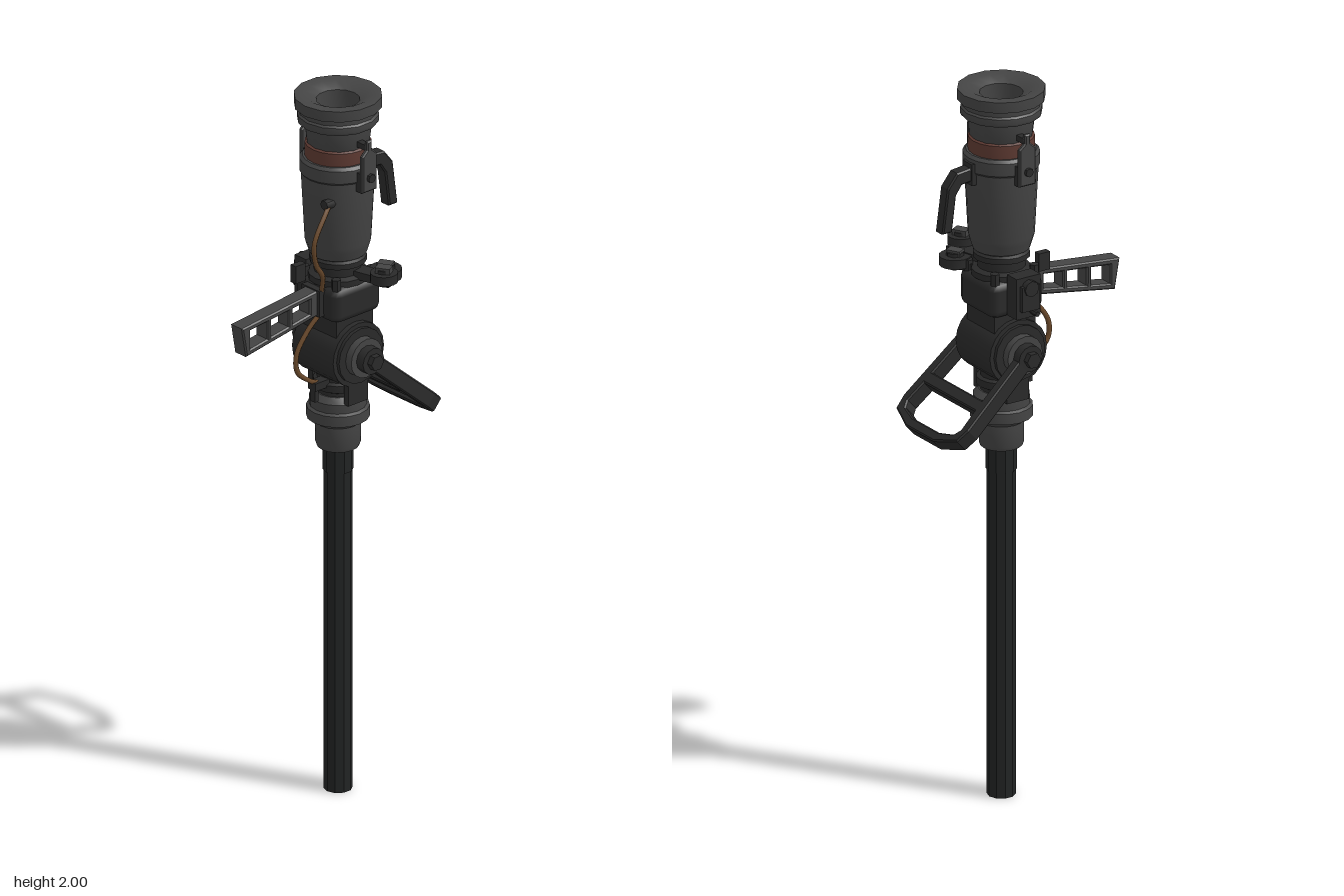
import * as THREE from 'three';
import { toCreasedNormals } from 'three/addons/utils/BufferGeometryUtils.js';
import { RoundedBoxGeometry } from 'three/addons/geometries/RoundedBoxGeometry.js';

const mat = (name, color) => Object.assign(new THREE.MeshStandardMaterial({ color }), { name });

export function createModel() {
  const steel = mat('grey steel', 0x444444);
  const dark = mat('dark iron', 0x2a2a2a);
  const black = mat('blackened pole', 0x222424);
  const copper = mat('reddish band', 0x5e3a32);
  const wire = mat('brown cable', 0x6b4a2c);

  const model = new THREE.Group();
  model.name = 'pistonTool';
  // The main axis sits slightly off the centre of the bounds
  const body = new THREE.Group();
  body.name = 'assembly';
  body.position.set(-0.02, 0, -0.055);
  model.add(body);

  const add = (name, geo, material, x = 0, y = 0, z = 0) => {
    const m = new THREE.Mesh(geo, material);
    m.name = name;
    m.position.set(x, y, z);
    body.add(m);
    return m;
  };
  const lathe = (name, pts, material, sides = 16) => add(name,
    toCreasedNormals(new THREE.LatheGeometry(pts.map(p => new THREE.Vector2(...p)), sides), 0.6), material);
  const box = (name, w, h, d, material, x, y, z) => add(name, new THREE.BoxGeometry(w, h, d), material, x, y, z);
  const disc = (name, r, h, material, x, y, z, sides = 16) =>
    add(name, toCreasedNormals(new THREE.CylinderGeometry(r, r, h, sides), 0.9), material, x, y, z);
  const axle = (name, r, x0, x1, material, y, z = 0, sides = 16) => {
    const m = disc(name, r, Math.abs(x1 - x0), material, (x0 + x1) / 2, y, z, sides);
    m.rotation.z = Math.PI / 2;
    return m;
  };
  const path = pts => pts.map(p => new THREE.Vector2(...p));
  const extrude = (pts, holes, depth) => {
    const s = new THREE.Shape(path(pts));
    holes.forEach(h => s.holes.push(new THREE.Path(path(h))));
    const bevel = 0.004;
    return new THREE.ExtrudeGeometry(s, {
      depth: depth - 2 * bevel, bevelThickness: bevel, bevelSize: bevel, bevelOffset: -bevel, bevelSegments: 1,
    }).translate(0, 0, -depth / 2 + bevel);
  };
  // Outline given as (z, y), thickness across x
  const sidePlate = (name, pts, holes, depth, material, x = 0) => {
    const m = add(name, extrude(pts, holes, depth), material, x);
    m.rotation.y = -Math.PI / 2;
    return m;
  };

  // Pole and lower socket
  lathe('pole', [[0, 0], [0.038, 0], [0.038, 1.0], [0, 1.0]], black, 10);
  lathe('poleSleeve', [[0.036, 0.92], [0.041, 0.92], [0.041, 1.0]], black, 10);
  lathe('lowerSocket', [[0.03, 0.99], [0.056, 0.99], [0.06, 1.0], [0.06, 1.06], [0.068, 1.07],
    [0.084, 1.075], [0.084, 1.105], [0.076, 1.11], [0.076, 1.135], [0.06, 1.15], [0, 1.15]], steel);
  lathe('lowerNeck', [[0.056, 1.14], [0.056, 1.16], [0.066, 1.165], [0.066, 1.185], [0.056, 1.19],
    [0.056, 1.25]], dark);

  // Pivot drum with stepped caps and bolts
  axle('pivotDrum', 0.09, -0.08, 0.08, dark, 1.275, 0, 20);
  box('pivotYoke', 0.13, 0.14, 0.13, dark, 0, 1.34, 0);
  for (const s of [-1, 1]) {
    axle('drumRim', 0.078, s * 0.078, s * 0.09, dark, 1.275);
    axle('pivotCap', 0.055, s * 0.088, s * 0.112, steel, 1.275);
    axle('handleEyelet', 0.037, s * 0.108, s * 0.138, dark, 1.275, 0, 12);
    axle('pivotBolt', 0.022, s * 0.136, s * 0.155, dark, 1.275, 0, 6);
    box('yokeCheek', 0.018, 0.1, 0.07, dark, s * 0.07, 1.185, 0);
  }

  // Rear carrying handle, a framed loop hanging from the pivot
  const half = [[0.135, -0.02], [0.152, 0.255], [0.142, 0.295], [0.065, 0.325]];
  const inner = [[0.126, 0.2], [0.107, 0.175]];
  const mirror = pts => pts.map(([x, y]) => [-x, y]).reverse();
  const handle = add('carryHandle', extrude(
    [...half, ...mirror(half), [-0.106, -0.02], [-0.116, 0.165], [0.116, 0.165], [0.106, -0.02]],
    [[[-0.118, 0.2], [0.118, 0.2], [0.124, 0.262], [0.112, 0.282], [0.06, 0.297],
      [-0.06, 0.297], [-0.112, 0.282], [-0.124, 0.262]]], 0.045), dark, 0, 1.275, 0);
  handle.rotation.x = -2.286;

  // Middle block
  add('middleBlock', new RoundedBoxGeometry(0.165, 0.1, 0.165, 1, 0.022), dark, 0, 1.43, 0);
  lathe('blockPlate', [[0.05, 1.47], [0.08, 1.475], [0.08, 1.492], [0.064, 1.498], [0.064, 1.52],
    [0.076, 1.525], [0.076, 1.54], [0.06, 1.55]], dark);
  for (const s of [-1, 1]) for (const t of [-1, 1]) {
    disc('blockStud', 0.013, 0.05, dark, s * 0.062, 1.48, t * 0.062, 6);
  }

  // Front lever with three windows
  const top = z => 1.47 - (z - 0.07) * 0.105;
  const low = z => 1.4 - (z - 0.07) * 0.165;
  const windowAt = (a, b) => [[a, low(a) + 0.016], [b, low(b) + 0.016], [b, top(b) - 0.016], [a, top(a) - 0.016]];
  sidePlate('frontLever', [[0.07, 1.4], [0.345, low(0.345)], [0.36, 1.44], [0.07, 1.47]],
    [windowAt(0.12, 0.18), windowAt(0.195, 0.255), windowAt(0.27, 0.33)], 0.048, steel);
  box('leverMount', 0.07, 0.075, 0.03, dark, 0, 1.433, 0.082);

  // Side switch box on the right
  box('switchBox', 0.045, 0.115, 0.075, dark, -0.105, 1.447, 0);
  box('switchLid', 0.02, 0.07, 0.055, dark, -0.13, 1.447, 0);
  axle('switchKnob', 0.022, -0.125, -0.145, dark, 1.475, 0, 8);
  axle('switchPin', 0.007, -0.12, -0.156, dark, 1.405, 0.01, 6);
  box('frontCatch', 0.02, 0.05, 0.035, dark, -0.045, 1.5, 0.1);

  // Two adjusting wheels on a bracket on the left
  const bracket = box('wheelBracket', 0.13, 0.022, 0.045, dark, 0.1, 1.5, -0.03);
  bracket.rotation.y = 0.25;
  const bracket2 = box('rearBracket', 0.08, 0.02, 0.04, dark, 0.07, 1.485, -0.055);
  bracket2.rotation.y = 0.7;
  [[0.157, 1.52, -0.02, 0.037], [0.1, 1.495, -0.078, 0.043]].forEach(([x, y, z, r]) => {
    disc('adjustingWheel', r, 0.026, dark, x, y, z);
    disc('wheelHub', r * 0.55, 0.045, dark, x, y, z, 8);
    box('wheelGrip', 0.04, 0.018, 0.03, steel, x, y + 0.02, z).rotation.y = 0.5;
  });

  // Upper barrel, band and open collar
  lathe('barrel', [[0.058, 1.54], [0.076, 1.55], [0.084, 1.575], [0.088, 1.59], [0.098, 1.78],
    [0.102, 1.785], [0.102, 1.82], [0.094, 1.828], [0.08, 1.828]], steel, 20);
  lathe('band', [[0.08, 1.82], [0.088, 1.825], [0.088, 1.865], [0.08, 1.87]], copper, 20);
  lathe('collar', [[0.08, 1.865], [0.084, 1.87], [0.09, 1.922], [0.106, 1.926], [0.109, 1.932],
    [0.109, 1.948], [0.104, 1.953], [0.104, 1.965], [0.117, 1.97], [0.117, 2.0], [0.087, 2.0],
    [0.058, 1.985], [0.054, 1.9], [0, 1.9]], steel, 14);

  // Barrel clasps on both sides
  for (const s of [-1, 1]) {
    box('claspMount', 0.022, 0.055, 0.045, dark, s * 0.105, 1.785, 0);
    sidePlate('claspPlate', [[0.026, 1.76], [0.026, 1.865], [0.009, 1.88], [0.009, 1.905], [-0.009, 1.905],
      [-0.009, 1.88], [-0.026, 1.865], [-0.026, 1.76]].reverse(), [], 0.014, steel, s * 0.118).rotation.z = 0;
    box('claspHook', 0.035, 0.016, 0.018, dark, s * 0.102, 1.885, 0);
    axle('claspPin', 0.012, s * 0.11, s * 0.134, dark, 1.8, 0, 8);
  }

  // Rear grip on the barrel
  sidePlate('rearGrip', [[-0.085, 1.8], [-0.15, 1.793], [-0.18, 1.755], [-0.197, 1.63], [-0.166, 1.63],
    [-0.153, 1.73], [-0.135, 1.757], [-0.085, 1.762]], [], 0.036, dark);
  box('gripMount', 0.045, 0.06, 0.02, dark, 0, 1.78, -0.098);

  // Loose cable in two loops
  const cable = (name, pts) => add(name, new THREE.TubeGeometry(
    new THREE.CatmullRomCurve3(pts.map(p => new THREE.Vector3(...p))), 32, 0.007, 6), wire);
  cable('upperCable', [[0.052, 1.725, 0.075], [0.066, 1.705, 0.105], [0.076, 1.64, 0.152],
    [0.068, 1.575, 0.14], [0.05, 1.52, 0.1], [0.03, 1.47, 0.085]]);
  cable('lowerCable', [[0.02, 1.4, 0.08], [0.012, 1.36, 0.115], [0.01, 1.3, 0.155],
    [0.012, 1.25, 0.155], [0.01, 1.21, 0.11], [0.008, 1.19, 0.07]]);
  const plug = disc('cablePlug', 0.014, 0.03, dark, 0.052, 1.725, 0.082, 8);
  plug.rotation.x = Math.PI / 2;
  box('cableClip', 0.03, 0.022, 0.06, dark, 0.008, 1.19, 0.07);
  box('clipTab', 0.02, 0.05, 0.012, dark, 0.008, 1.17, 0.092);

  return model;
}
